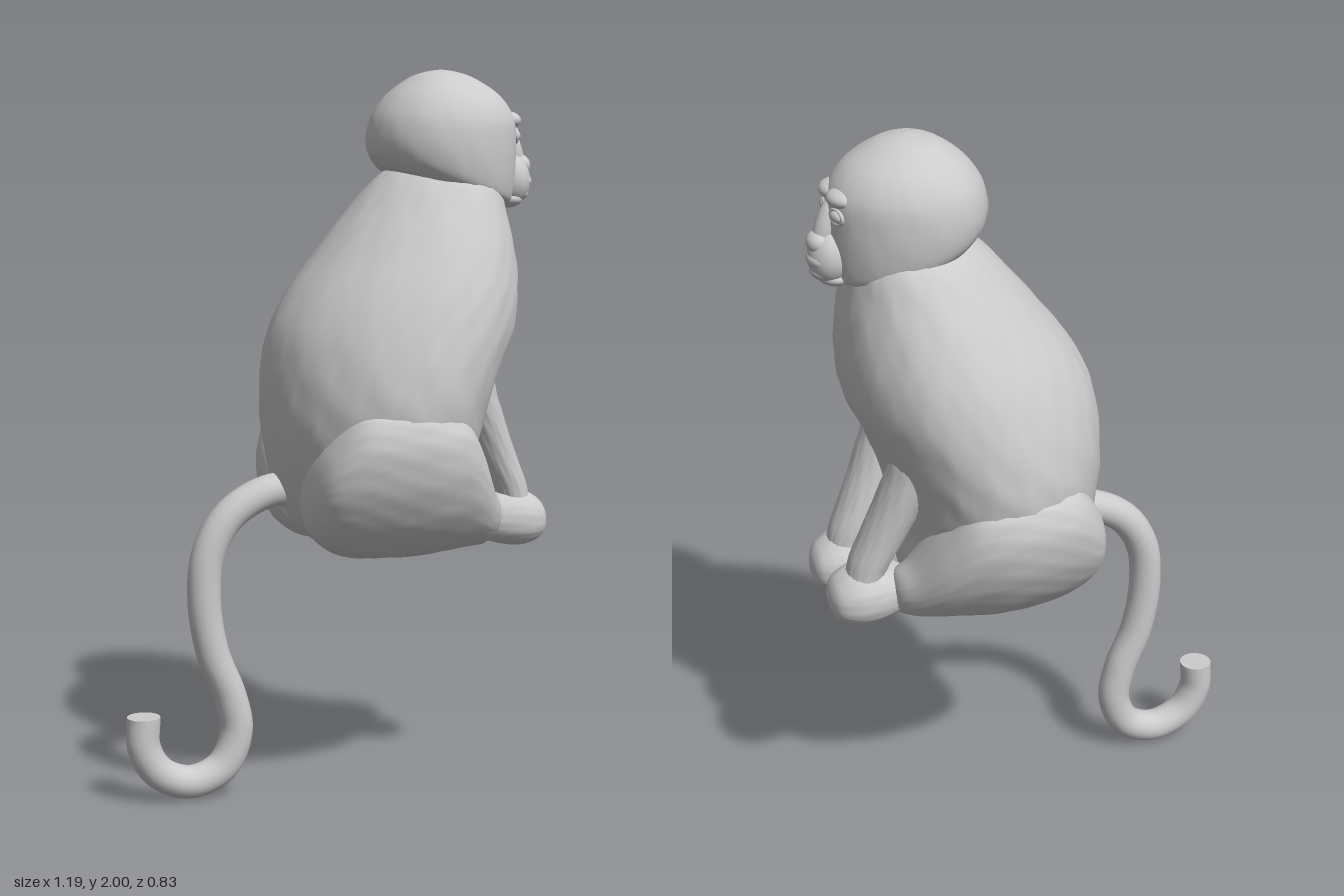
import * as THREE from 'three';

const grey = new THREE.MeshStandardMaterial({ color: 0xcccccc });

function add(parent, name, geometry) {
  const mesh = new THREE.Mesh(geometry, grey);
  mesh.name = name;
  parent.add(mesh);
  return mesh;
}

// Smooth closed skin over rows of section sizes; place(row, angle) gives a point
function loft(rows, place, around = 72, steps = 8) {
  const count = (rows.length - 1) * steps;
  const positions = [], index = [];
  const row = (i) => rows[Math.min(Math.max(i, 0), rows.length - 1)];
  for (let i = 0; i <= count; i++) {
    const k = Math.min(Math.floor(i / steps), rows.length - 2);
    const t = i / steps - k;
    const r = row(k).map((b, c) => {
      const a = row(k - 1)[c], d = row(k + 1)[c], e = row(k + 2)[c];
      return b + 0.5 * t * (d - a + t * (2 * a - 5 * b + 4 * d - e + t * (3 * (b - d) + e - a)));
    });
    for (let j = 0; j < around; j++) {
      positions.push(...place(r, (j / around) * Math.PI * 2));
      if (i === count) continue;
      const a = i * around + j, b = i * around + ((j + 1) % around);
      index.push(a, a + around, b, b, a + around, b + around);
    }
  }
  const g = new THREE.BufferGeometry();
  g.setAttribute('position', new THREE.Float32BufferAttribute(positions, 3));
  g.setIndex(index);
  g.computeVertexNormals();
  return g;
}

// Shallow streaks of fur
const fur = (a, y, size) => 1 + size * (Math.sin(a * 17 + 3 * Math.sin(y * 9)) * Math.sin(y * 23 + a * 5)
  + 0.6 * Math.sin(a * 29 - y * 31));

// Horizontal sections: rows of [y, back x, front x, half width, centre z]
function stack(rows, { egg = 0, streak = 0, bend = () => 0 } = {}) {
  return loft(rows, ([y, x0, x1, hz, zc], a) => {
    const f = fur(a, y, streak);
    const x = (x0 + x1) / 2 + ((x1 - x0) / 2) * Math.cos(a) * f;
    return [x, y + bend(x, y), zc + hz * Math.sin(a) * (1 - egg * Math.cos(a)) * f];
  });
}

// Upright sections along x: rows of [x, centre y, half height, centre z, half width]
function limb(rows, s, { lean = 0, power = 1, streak = 0 }) {
  const soft = (v) => Math.sign(v) * Math.abs(v) ** power;
  return loft(rows, ([x, yc, hy, zc, hz], a) => {
    const f = fur(a, x, streak), dy = hy * soft(Math.cos(a)) * f;
    return [x, yc + dy, s * (zc + lean * dy) - hz * soft(Math.sin(a)) * f];
  });
}

function ellipsoid(parent, name, p, s, tilt = 0) {
  const mesh = add(parent, name, new THREE.SphereGeometry(1, 32, 20));
  mesh.position.set(...p);
  mesh.scale.set(...s);
  mesh.rotation.z = tilt;
  return mesh;
}

export function createModel() {
  const model = new THREE.Group();
  model.name = 'sittingMonkey';

  // Torso, narrowing to the neck
  add(model, 'body', stack([
    [0.685, 0.13, 0.13, 0, 0], [0.695, -0.02, 0.29, 0.16, 0], [0.73, -0.09, 0.345, 0.22, 0],
    [0.8, -0.14, 0.365, 0.28, 0], [0.9, -0.175, 0.365, 0.335, 0], [1.0, -0.192, 0.385, 0.375, 0],
    [1.1, -0.197, 0.41, 0.393, 0], [1.2, -0.193, 0.45, 0.388, 0], [1.3, -0.172, 0.492, 0.37, 0],
    [1.4, -0.12, 0.507, 0.342, 0], [1.5, -0.045, 0.503, 0.3, 0], [1.6, 0.035, 0.487, 0.248, 0],
    [1.7, 0.125, 0.46, 0.183, 0], [1.75, 0.2, 0.4, 0.1, 0], [1.76, 0.3, 0.3, 0, 0],
  ], { egg: -0.1, streak: 0.007 }));

  // Head with a sloping underside, set slightly to the side
  const head = new THREE.Group();
  head.name = 'head';
  head.position.z = 0.01;
  model.add(head);
  add(head, 'skull', stack([
    [1.675, 0.31, 0.31, 0, 0], [1.677, 0.17, 0.46, 0.145, 0], [1.69, 0.126, 0.5, 0.178, 0],
    [1.73, 0.108, 0.515, 0.194, 0], [1.8, 0.103, 0.52, 0.201, 0], [1.87, 0.117, 0.514, 0.192, 0],
    [1.93, 0.157, 0.472, 0.157, 0], [1.975, 0.216, 0.402, 0.098, 0], [1.993, 0.262, 0.352, 0.048, 0],
    [2.0, 0.307, 0.307, 0, 0],
  ], { egg: 0.08, streak: 0.003, bend: (x, y) => -0.3 * (x - 0.31) * Math.min(1, (2 - y) / 0.3) ** 3 }));

  // Face
  ellipsoid(head, 'muzzle', [0.514, 1.7, 0], [0.06, 0.075, 0.066], 0.15);
  ellipsoid(head, 'noseBridge', [0.522, 1.775, 0], [0.032, 0.085, 0.03], 0.3);
  ellipsoid(head, 'noseTip', [0.542, 1.738, 0], [0.035, 0.032, 0.04]);
  ellipsoid(head, 'upperLip', [0.541, 1.695, 0], [0.037, 0.028, 0.053]);
  ellipsoid(head, 'lowerLip', [0.533, 1.662, 0], [0.038, 0.025, 0.046]);
  ellipsoid(head, 'chin', [0.506, 1.645, 0], [0.045, 0.025, 0.055]);

  for (const s of [-1, 1]) {
    const side = s > 0 ? 'Left' : 'Right';
    ellipsoid(head, 'brow' + side, [0.486, 1.862, s * 0.04], [0.042, 0.026, 0.05]).rotation.y = -s * 0.25;
    ellipsoid(head, 'eye' + side, [0.508, 1.82, s * 0.056], [0.014, 0.016, 0.026]).rotation.y = -s * 0.3;
    const lid = add(head, 'eyelid' + side, new THREE.TorusGeometry(0.027, 0.006, 10, 32));
    lid.position.set(0.508, 1.82, s * 0.056);
    lid.rotation.y = Math.PI / 2 - s * 0.3;
    lid.scale.y = 0.7;

    // Folded leg, leaning outward at the top
    add(model, 'thigh' + side, limb([
      [-0.15, 0.86, 0, 0.19, 0], [-0.142, 0.86, 0.07, 0.195, 0.07], [-0.11, 0.87, 0.135, 0.21, 0.115],
      [-0.04, 0.89, 0.198, 0.228, 0.138], [0.06, 0.896, 0.214, 0.243, 0.147], [0.16, 0.896, 0.214, 0.247, 0.147],
      [0.25, 0.884, 0.197, 0.23, 0.139], [0.32, 0.838, 0.146, 0.2, 0.12], [0.38, 0.785, 0.092, 0.16, 0.09],
      [0.42, 0.768, 0.058, 0.135, 0.06], [0.432, 0.765, 0, 0.13, 0],
    ], s, { lean: 0.36, streak: 0.009 }));

    // Arm emerging from under the chest and reaching down to the paw
    add(model, 'arm' + side, stack([
      [0.77, 0.5, 0.5, 0, s * 0.1], [0.78, 0.46, 0.54, 0.055, s * 0.1], [0.85, 0.42, 0.532, 0.068, s * 0.1],
      [0.93, 0.375, 0.499, 0.074, s * 0.105], [1.02, 0.33, 0.461, 0.08, s * 0.115],
      [1.1, 0.285, 0.43, 0.086, s * 0.125], [1.18, 0.23, 0.402, 0.088, s * 0.135],
      [1.25, 0.25, 0.35, 0.045, s * 0.14], [1.26, 0.3, 0.3, 0, s * 0.14],
    ], { streak: 0.014 }));

    // Blunt paw
    add(model, 'paw' + side, limb([
      [0.362, 0.768, 0, 0.1, 0], [0.37, 0.767, 0.035, 0.1, 0.045], [0.4, 0.765, 0.062, 0.099, 0.077],
      [0.46, 0.762, 0.079, 0.098, 0.094], [0.52, 0.757, 0.078, 0.097, 0.093], [0.565, 0.752, 0.059, 0.095, 0.073],
      [0.585, 0.75, 0.033, 0.093, 0.043], [0.592, 0.75, 0, 0.092, 0],
    ], s, { power: 0.88, streak: 0.008 }));
  }

  // Hooked tail with a flat tip
  const path = new THREE.CatmullRomCurve3([
    [-0.08, 0.86], [-0.2, 0.85], [-0.305, 0.79], [-0.365, 0.69], [-0.378, 0.56], [-0.355, 0.41],
    [-0.305, 0.28], [-0.289, 0.18], [-0.33, 0.086], [-0.42, 0.05], [-0.51, 0.085], [-0.553, 0.16], [-0.553, 0.247],
  ].map(([x, y]) => new THREE.Vector3(x, y, -0.004)));
  const tail = new THREE.Group();
  tail.name = 'tail';
  model.add(tail);
  add(tail, 'tailTube', new THREE.TubeGeometry(path, 120, 0.046, 24));
  const tip = add(tail, 'tailTip', new THREE.CircleGeometry(0.046, 24));
  tip.position.copy(path.getPoint(1));
  tip.lookAt(path.getPoint(1).add(path.getTangent(1)));

  return model;
}
